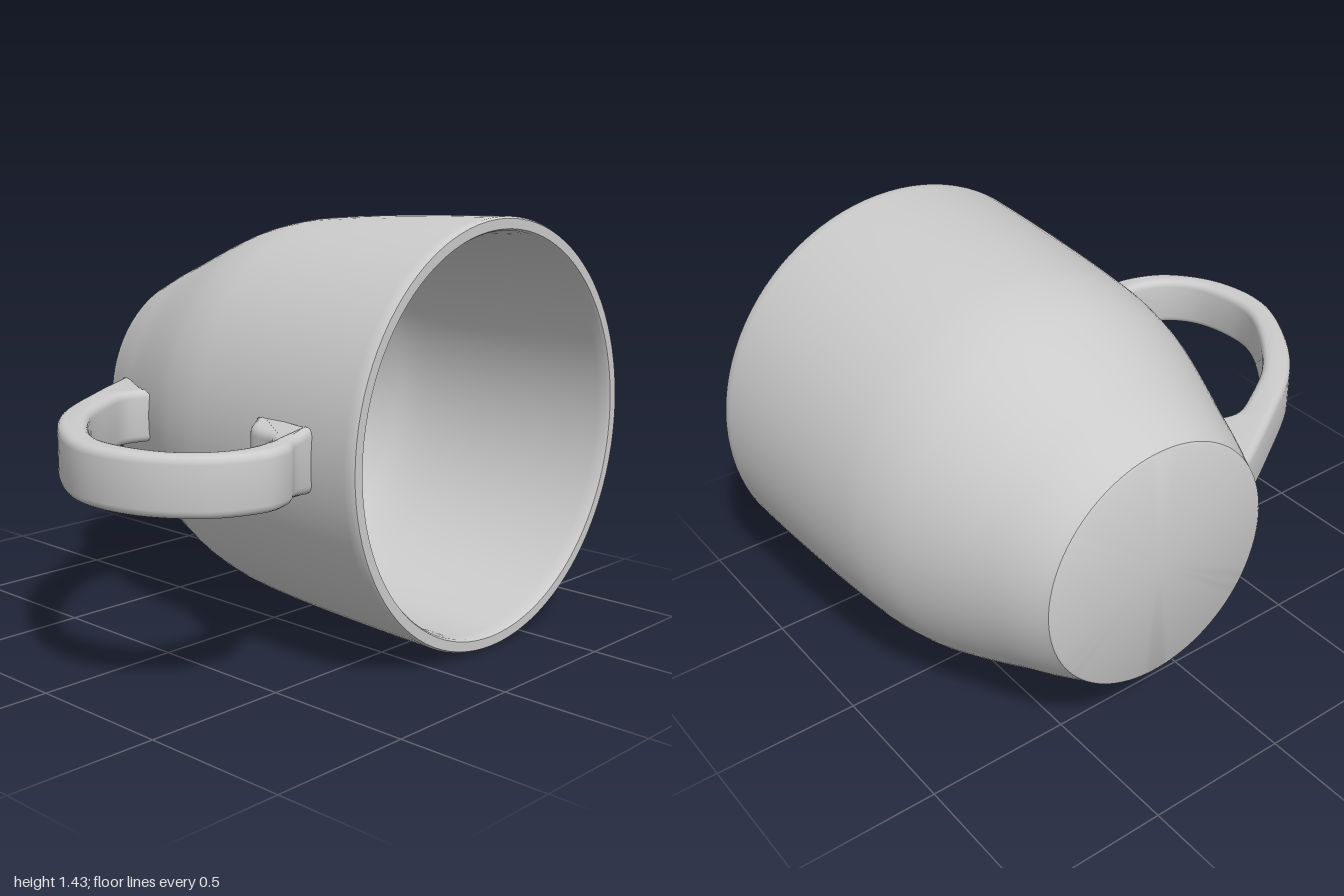
import * as THREE from 'three';
import { toCreasedNormals } from 'three/addons/utils/BufferGeometryUtils.js';

const CENTER_X = 0.295, CENTER_Y = 0.715;

const material = () => new THREE.MeshStandardMaterial({ color: 0xcccccc });
const points = (pairs) => pairs.map(([x, y]) => new THREE.Vector2(x, y));
const smooth = (pairs, n) => new THREE.SplineCurve(points(pairs)).getPoints(n);

// Cup body: one closed-wall profile (radius, depth) turned around the z axis
function createCup() {
  const outer = smooth([
    [0.425, -0.718], [0.475, -0.61], [0.52, -0.5], [0.563, -0.4], [0.604, -0.3],
    [0.64, -0.2], [0.664, -0.1], [0.679, 0], [0.696, 0.22], [0.709, 0.5], [0.715, 0.72],
  ], 48);
  const inner = smooth([
    [0.67, 0.72], [0.662, 0.4], [0.65, 0.1], [0.63, -0.1],
    [0.595, -0.22], [0.53, -0.38], [0.46, -0.53], [0.395, -0.67],
  ], 40);
  const profile = [
    ...points([[0, -0.735], [0.411, -0.735], [0.42, -0.73]]),
    ...outer,
    ...points([[0.709, 0.731], [0.676, 0.731]]),
    ...inner,
    ...points([[0, -0.67]]),
  ];
  const geometry = new THREE.LatheGeometry(profile, 96);
  geometry.rotateX(Math.PI / 2);
  geometry.scale(0.987, 1, 1);
  const cup = new THREE.Mesh(toCreasedNormals(geometry, 0.6), material());
  cup.name = 'cup';
  cup.position.set(CENTER_X, CENTER_Y, 0);
  return cup;
}

// Handle: side outline (x, z) extruded across its width with softened edges
function createHandle() {
  const outerEdge = smooth([
    [-0.16, -0.615], [-0.43, -0.45], [-0.72, -0.25], [-0.9, -0.03], [-0.995, 0.19],
    [-0.97, 0.41], [-0.85, 0.58], [-0.69, 0.65], [-0.58, 0.635], [-0.5, 0.585], [-0.385, 0.55],
  ], 70);
  const innerEdge = smooth([
    [-0.385, 0.3], [-0.42, 0.325], [-0.475, 0.37], [-0.51, 0.48], [-0.58, 0.54], [-0.69, 0.56],
    [-0.8, 0.52], [-0.88, 0.42], [-0.91, 0.27], [-0.89, 0.14], [-0.8, -0.01],
    [-0.66, -0.17], [-0.5, -0.28], [-0.38, -0.34], [-0.285, -0.32],
  ], 80);
  const width = 0.185, bevel = 0.026;
  const geometry = new THREE.ExtrudeGeometry(new THREE.Shape([...outerEdge, ...innerEdge]), {
    depth: width - 2 * bevel,
    bevelEnabled: true, bevelSize: bevel, bevelThickness: bevel,
    bevelOffset: -bevel, bevelSegments: 4,
  });
  geometry.translate(0, 0, bevel - width / 2);
  geometry.rotateX(Math.PI / 2);

  // Flare the root near the rim where it blends into the wall
  const pos = geometry.attributes.position;
  for (let i = 0; i < pos.count; i++) {
    if (pos.getZ(i) < 0.2) continue;
    const t = THREE.MathUtils.smoothstep(pos.getX(i), -0.5, -0.4);
    pos.setY(i, pos.getY(i) * (1 + 0.12 * t));
  }
  const handle = new THREE.Mesh(toCreasedNormals(geometry, 0.7), material());
  handle.name = 'handle';
  handle.position.y = 0.722;
  return handle;
}

export function createModel() {
  const mug = new THREE.Group();
  mug.name = 'mug';
  mug.add(createCup(), createHandle());
  return mug;
}
